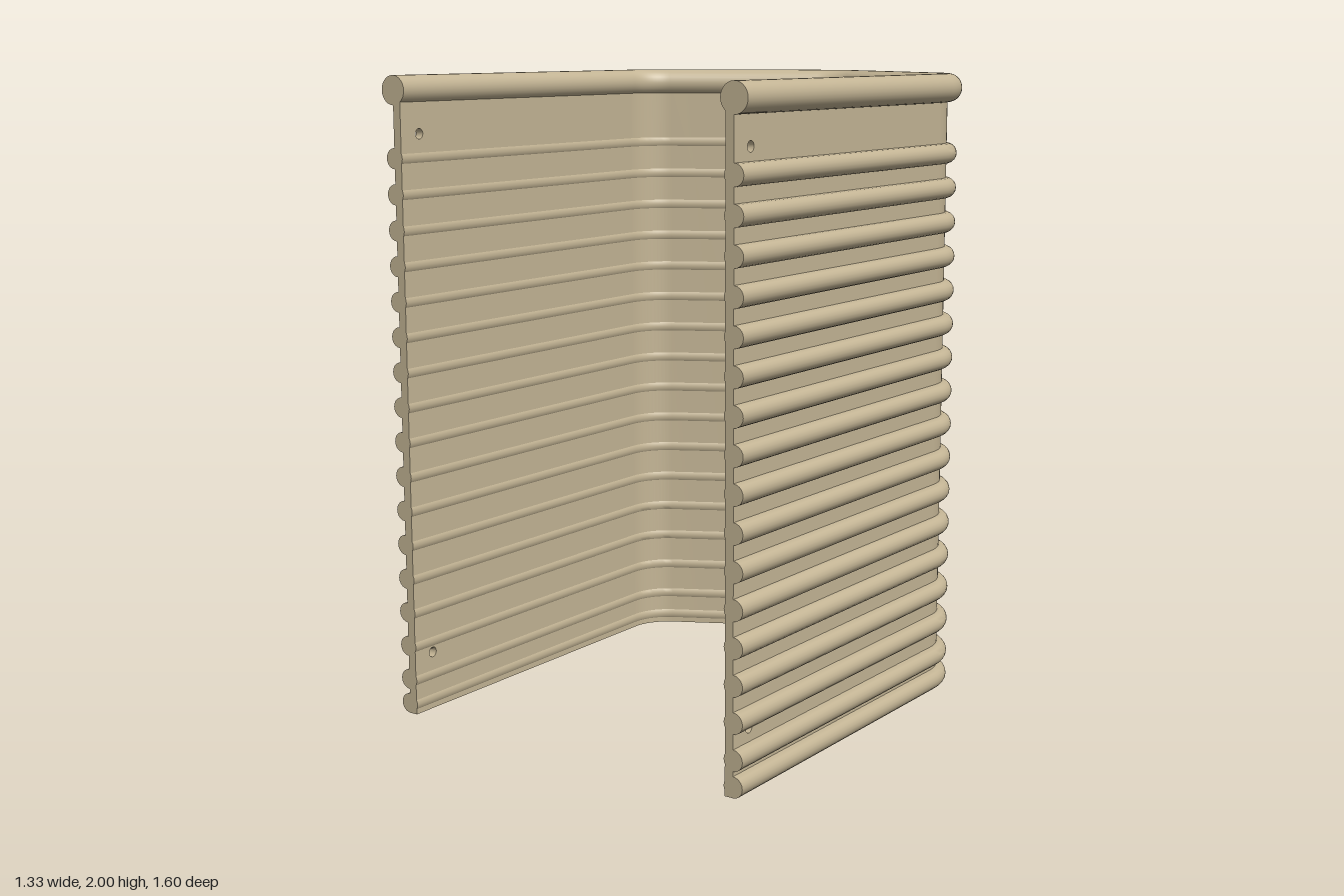
import * as THREE from 'three';
import { toCreasedNormals } from 'three/addons/utils/BufferGeometryUtils.js';

const HALF = 0.62;       // outer face of the side walls
const WALL = 0.028;      // sheet thickness
const FRONT = 0.8;       // z of the open front edge
const BEND_Z = -0.345;   // where the straight sides end
const SLOPE = THREE.MathUtils.degToRad(28);

// Plan path, running from the +x bend round the pointed back to the -x bend.
function backPath() {
  const pts = [];
  const arc = (cx, cz, r, a0, a1, n) => {
    for (let i = 0; i <= n; i++) {
      const a = a0 + (a1 - a0) * i / n;
      const nx = Math.cos(a), nz = -Math.sin(a);
      pts.push({ x: cx + r * nx, z: cz + r * nz, nx, nz });
    }
  };
  const corner = 0.172, peak = 0.166, turn = Math.PI / 2 - SLOPE;
  arc(HALF - corner, BEND_Z, corner, 0, turn, 12);
  arc(0, -0.589, peak, turn, Math.PI - turn, 10);
  arc(corner - HALF, BEND_Z, corner, Math.PI - turn, Math.PI, 12);
  return pts;
}

// Sweep a convex counter-clockwise profile of [outward offset, y] along a path.
function sweep(path, profile) {
  const pos = [], idx = [], m = profile.length, last = path.length - 1;
  for (const p of path) {
    for (const [o, y] of profile) pos.push(p.x + p.nx * o, y, p.z + p.nz * o);
  }
  for (let i = 0; i < last; i++) {
    for (let j = 0; j < m; j++) {
      const k = (j + 1) % m;
      const a = i * m + j, b = (i + 1) * m + j, c = (i + 1) * m + k, d = i * m + k;
      idx.push(a, b, d, b, c, d);
    }
  }
  // End caps
  for (let j = 1; j < m - 1; j++) {
    idx.push(0, j, j + 1, last * m, last * m + j + 1, last * m + j);
  }
  const g = new THREE.BufferGeometry();
  g.setAttribute('position', new THREE.Float32BufferAttribute(pos, 3));
  g.setIndex(idx);
  return toCreasedNormals(g, 0.7);
}

function circle(r, y, n) {
  return Array.from({ length: n }, (_, i) => {
    const a = (i / n) * Math.PI * 2;
    return [r * Math.cos(a), y + r * Math.sin(a)];
  });
}

export function createModel() {
  const model = new THREE.Group();
  model.name = 'ribbedShelter';
  const tan = new THREE.MeshStandardMaterial({ color: 0xc4b595 });
  tan.name = 'tan';
  const add = (name, geometry) => {
    const mesh = new THREE.Mesh(geometry, tan);
    mesh.name = name;
    model.add(mesh);
    return mesh;
  };

  const back = backPath();
  const full = [
    { x: HALF, z: FRONT, nx: 1, nz: 0 },
    ...back,
    { x: -HALF, z: FRONT, nx: -1, nz: 0 },
  ];
  const wallTop = 1.95;

  // Bent back wall
  add('backWall', sweep(back, [[-WALL, 0], [0, 0], [0, wallTop], [-WALL, wallTop]]));

  // Flat side walls with bolt holes near the front edge
  const panel = new THREE.Shape([
    new THREE.Vector2(BEND_Z, 0), new THREE.Vector2(FRONT, 0),
    new THREE.Vector2(FRONT, wallTop), new THREE.Vector2(BEND_Z, wallTop),
  ]);
  for (const y of [0.185, 1.823]) {
    panel.holes.push(new THREE.Path().absarc(0.72, y, 0.016, 0, Math.PI * 2, true));
  }
  const side = new THREE.ExtrudeGeometry(panel, { depth: WALL, bevelEnabled: false, curveSegments: 16 });
  side.rotateY(-Math.PI / 2);
  add('leftWall', side).position.x = HALF;
  add('rightWall', side).position.x = WALL - HALF;

  // Horizontal ribs, with an extra one along the bottom edge
  const ribR = 0.032;
  add('bottomRib', sweep(full, circle(ribR, ribR, 20)));
  for (let i = 0; i < 16; i++) {
    add('rib', sweep(full, circle(ribR, 0.111 + i * 0.1093, 20)));
  }

  // Thick rolled rim
  add('topRim', sweep(full, circle(0.045, 1.955, 28)));
  return model;
}
